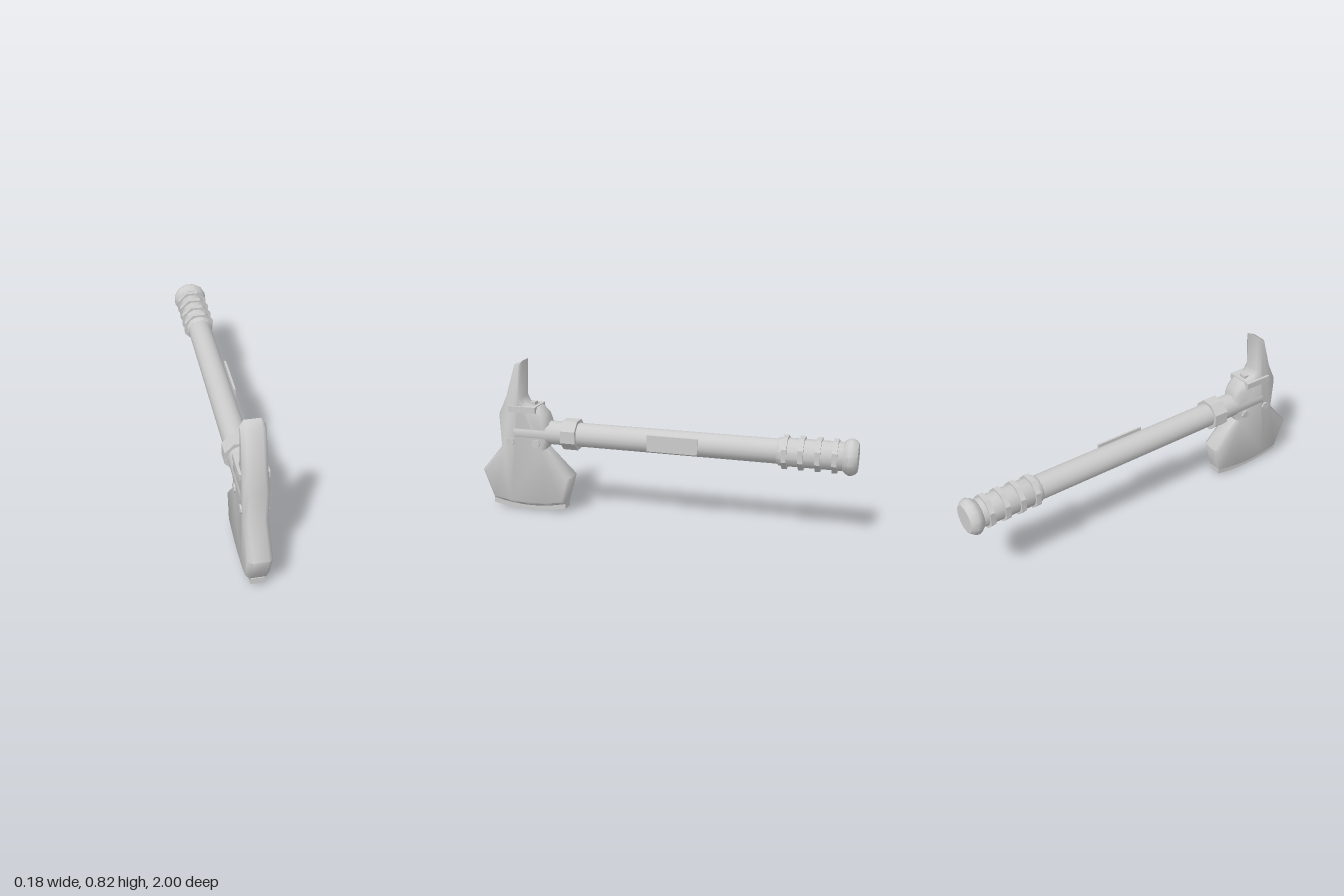
import * as THREE from 'three';
import { toCreasedNormals } from 'three/addons/utils/BufferGeometryUtils.js';

const AXIS_Y = 0.438; // height of the handle's axis

export function createModel() {
  const group = new THREE.Group();
  const steel = new THREE.MeshStandardMaterial({ color: 0xcccccc });
  steel.name = 'light grey steel';

  const add = (name, geometry) => {
    const mesh = new THREE.Mesh(toCreasedNormals(geometry, 0.6), steel);
    mesh.name = name;
    group.add(mesh);
    return mesh;
  };

  // Turned part along the handle: profile of [radius, z], z rising
  const turned = (name, profile, sides) => {
    const pts = profile.map(([r, z]) => new THREE.Vector2(r, z));
    const g = new THREE.LatheGeometry(pts, sides, Math.PI / sides);
    g.rotateX(Math.PI / 2).translate(0, AXIS_Y, 0);
    return add(name, g);
  };

  // Side outline in (z, y), extruded across x with an optional chamfer
  const slab = (name, shape, halfWidth, bevelX, inset) => {
    const depth = 2 * (halfWidth - bevelX);
    const g = new THREE.ExtrudeGeometry(shape, {
      depth, curveSegments: 8, bevelEnabled: bevelX > 0, bevelSegments: 1,
      bevelThickness: bevelX, bevelSize: inset, bevelOffset: -inset,
    });
    g.translate(0, 0, -depth / 2).rotateY(-Math.PI / 2);
    return add(name, g);
  };

  // Box given by its minimum and maximum corners
  const box = (name, [x0, y0, z0], [x1, y1, z1]) => {
    const g = new THREE.BoxGeometry(x1 - x0, y1 - y0, z1 - z0);
    g.translate((x0 + x1) / 2, (y0 + y1) / 2, (z0 + z1) / 2);
    return add(name, g);
  };

  // Axe head with upper spike, neck hump and flared lower blade
  const head = new THREE.Shape();
  head.moveTo(0.94, 0.052);
  [[1.0, 0.21], [0.883, 0.35], [0.89, 0.53], [0.843, 0.63], [0.79, 0.803],
    [0.743, 0.825], [0.752, 0.63], [0.735, 0.597], [0.665, 0.58], [0.625, 0.54],
    [0.608, 0.49], [0.608, 0.40], [0.632, 0.35], [0.487, 0.205], [0.53, 0.052],
  ].forEach(([z, y]) => head.lineTo(z, y));
  head.quadraticCurveTo(0.735, 0.0, 0.94, 0.052);
  const headMesh = slab('axeHead', head, 0.058, 0.02, 0.018);

  // Soft shading round the rim of the lower blade and the neck hump
  const soft = toCreasedNormals(headMesh.geometry, 1.07).attributes.normal;
  const { position, normal } = headMesh.geometry.attributes;
  const mid = new THREE.Vector3(), face = new THREE.Vector3();
  const tri = new THREE.Triangle();
  for (let i = 0; i < position.count; i += 3) {
    tri.setFromAttributeAndIndices(position, i, i + 1, i + 2);
    tri.getMidpoint(mid);
    tri.getNormal(face);
    const onRim = Math.abs(face.x) < 0.95 && face.y > -0.64;
    if (!onRim || (mid.y > 0.34 && mid.z > 0.67)) continue;
    for (let k = i; k < i + 3; k++) {
      normal.setXYZ(k, soft.getX(k), soft.getY(k), soft.getZ(k));
    }
  }

  // Cutting edge under the head
  const edge = new THREE.Shape();
  edge.moveTo(0.945, 0.055);
  edge.lineTo(0.945, 0.022);
  edge.quadraticCurveTo(0.7375, -0.022, 0.53, 0.022);
  edge.lineTo(0.53, 0.055);
  edge.closePath();
  slab('cuttingEdge', edge, 0.035, 0, 0);

  // Bracket across the head, with a small catch on top
  box('headBracket', [-0.071, 0.552, 0.67], [0.071, 0.585, 0.822]);
  box('bracketCatch', [-0.02, 0.58, 0.69], [0.02, 0.602, 0.715]);

  // Bolts through both cheeks
  for (const z of [0.822, 0.677]) {
    const g = new THREE.CylinderGeometry(0.023, 0.023, 0.132, 8);
    g.rotateZ(Math.PI / 2).translate(0, 0.384, z);
    add('bolt', g);
  }

  // Handle shaft and the octagonal collar
  turned('handle', [[0, -0.93], [0.0635, -0.93], [0.0635, 0.8], [0, 0.8]], 16);
  const ring = (name, r, z0, z1) =>
    turned(name, [[0, z0], [r, z0], [r, z1], [0, z1]], 8);
  ring('collar', 0.084, 0.45, 0.53);

  // Grip sleeve with raised rings
  turned('grip', [[0, -0.94], [0.066, -0.94], [0.072, -0.92], [0.072, -0.615],
    [0.064, -0.603], [0, -0.603]], 12);
  for (const z of [-0.643, -0.725, -0.808, -0.89]) {
    ring('gripRing', 0.087, z - 0.013, z + 0.013);
  }

  // Rounded pommel with a flat end
  turned('pommel', [[0, -1], [0.072, -1], [0.084, -0.988], [0.092, -0.972],
    [0.092, -0.956], [0.084, -0.94], [0.072, -0.928], [0, -0.928]], 12);

  // Plate on the left side of the shaft
  box('handlePlate', [0.06, 0.4, -0.205], [0.071, 0.485, 0.06]);

  return group;
}
